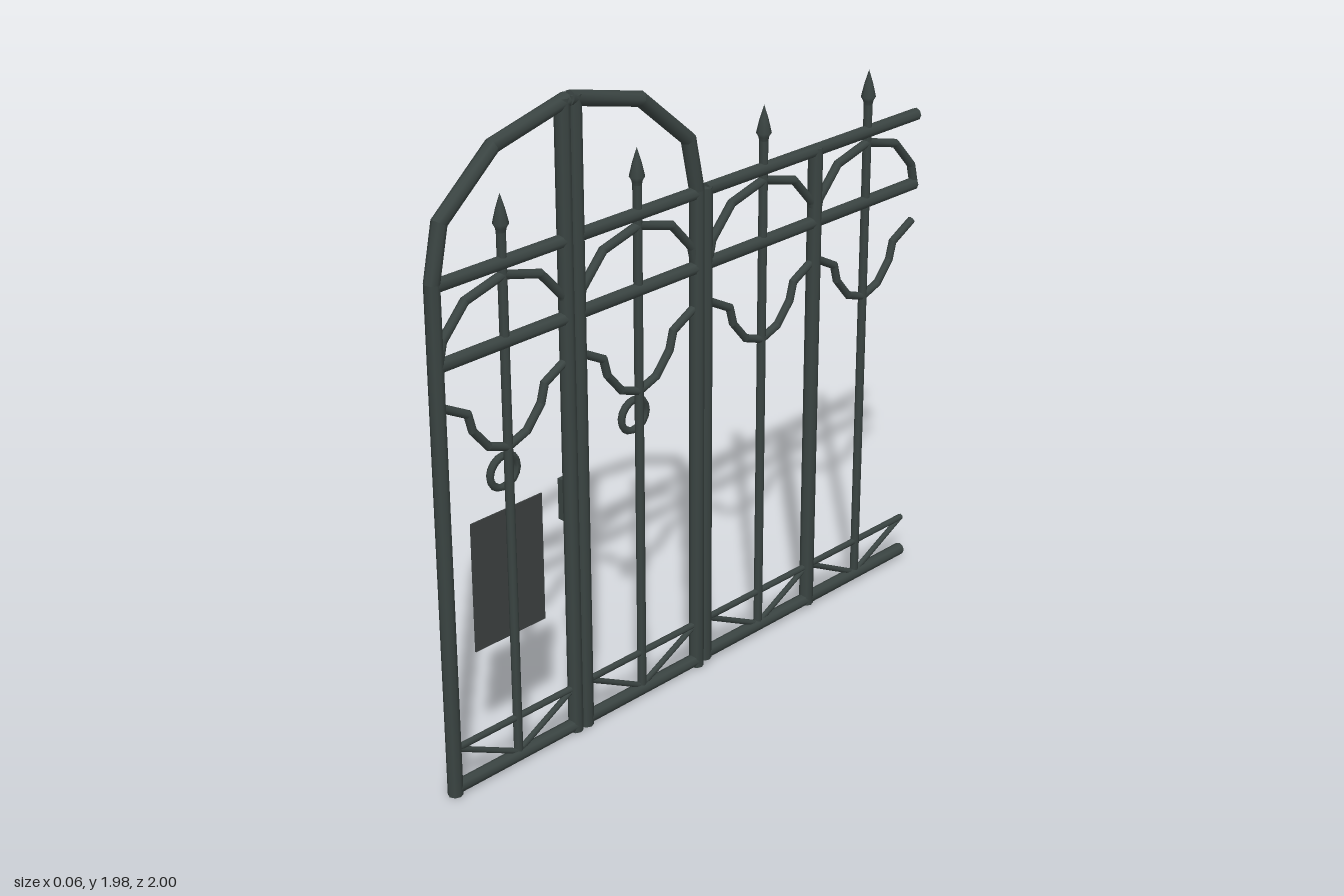
import * as THREE from 'three';

// Round bar swept through [z, y] points in the x = 0 plane, with mitred joints and flat ends
function barGeometry(points, radius, sides = 8) {
  const pts = points.map(p => new THREE.Vector2(p[0], p[1]));
  const dirs = pts.slice(1).map((p, i) => p.clone().sub(pts[i]).normalize());
  const rings = pts.map((p, i) => {
    const a = dirs[Math.max(0, i - 1)], b = dirs[Math.min(i, dirs.length - 1)];
    const t = a.clone().add(b).normalize();
    const r = radius / t.dot(a);
    return Array.from({ length: sides }, (_, k) => {
      const ang = k / sides * Math.PI * 2;
      const n = Math.cos(ang) * r;
      return [Math.sin(ang) * radius, p.y + t.x * n, p.x - t.y * n];
    });
  });
  const pos = [], index = [];
  for (let i = 0; i < rings.length - 1; i++) {
    const o = pos.length / 3;
    pos.push(...rings[i].flat(), ...rings[i + 1].flat());
    for (let k = 0; k < sides; k++) {
      const a = o + k, b = o + (k + 1) % sides;
      index.push(a, a + sides, b, b, a + sides, b + sides);
    }
  }
  [rings[0], rings[rings.length - 1]].forEach((ring, end) => {
    const o = pos.length / 3;
    pos.push(...ring.flat());
    for (let k = 1; k < sides - 1; k++) {
      if (end) index.push(o, o + k + 1, o + k);
      else index.push(o, o + k, o + k + 1);
    }
  });
  const g = new THREE.BufferGeometry();
  g.setAttribute('position', new THREE.Float32BufferAttribute(pos, 3));
  g.setIndex(index);
  g.computeVertexNormals();
  return g;
}

// Mirrors half a profile, given from the middle outwards, about a bay centre
function mirrored(half, centre) {
  const left = half.slice(1).reverse().map(([d, y]) => [centre + d, y]);
  return [...left, ...half.map(([d, y]) => [centre - d, y])];
}

export function createModel() {
  const model = new THREE.Group();
  const iron = new THREE.MeshStandardMaterial({ color: 0x3a4442, side: THREE.DoubleSide });
  iron.name = 'wroughtIron';
  const sheet = new THREE.MeshStandardMaterial({ color: 0x3c4040, side: THREE.DoubleSide });
  sheet.name = 'sheetMetal';

  const axis = 0.003; // x of the plane the ironwork lies in
  const add = (name, geometry, material = iron, parent = model) => {
    const mesh = new THREE.Mesh(geometry, material);
    mesh.name = name;
    mesh.position.x = axis;
    parent.add(mesh);
    return mesh;
  };
  const bar = (name, points, radius, parent) => add(name, barGeometry(points, radius), iron, parent);

  // Gate frames: each leaf has an outer post running into half of the arch, and a tall meeting post
  const mid = 0.485;
  const archHalf = [[0.005, 1.957], [0.27, 1.892], [0.459, 1.73], [0.493, 1.57], [0.493, 0.003]];
  for (const s of [1, -1]) {
    bar('gateFrame', archHalf.map(([d, y]) => [mid + s * d, y]), 0.0225);
    bar('meetingPost', [[mid + s * 0.0215, 0.003], [mid + s * 0.0215, 1.965]], 0.0225);
    // Latch box behind each meeting post
    add('latch', new THREE.BoxGeometry(0.03, 0.13, 0.034))
      .position.set(-0.02, 0.765, mid - 0.003 + s * 0.0215);
  }

  // Fence posts
  for (const z of [-0.042, -0.518]) bar('fencePost', [[z, 0.015], [z, 1.57]], 0.0225);

  // Spear-headed bar tip
  const spear = new THREE.LatheGeometry([[0.013, 1.645], [0.016, 1.66], [0.023, 1.672], [0.013, 1.715], [0, 1.757]]
    .map(p => new THREE.Vector2(...p)), 8);

  // Four bays of ironwork
  const bays = [
    { c: 0.735, from: 0.98, to: 0.51, gate: true },
    { c: 0.23, from: 0.464, to: -0.006, gate: true },
    { c: -0.288, from: -0.045, to: -0.518 },
    { c: -0.755, from: -0.518, to: -0.989 },
  ];
  for (const { c, from, to, gate } of bays) {
    const bay = new THREE.Group();
    bay.name = gate ? 'gateBay' : 'fenceBay';
    model.add(bay);
    const low = gate ? 0.024 : 0.031;
    bar('topRail', [[from, 1.561], [to, 1.561]], 0.02, bay);
    bar('middleRail', [[from, 1.333], [to, 1.333]], 0.02, bay);
    bar('bottomRail', [[from, low], [to, low]], 0.02, bay);
    bar('thinRail', [[from, 0.151], [to, 0.151]], 0.01, bay);
    bar('brace', [[from - 0.015, 0.149], [c, 0.034], [to + 0.005, 0.149]], 0.009, bay);
    bar('uprightBar', [[c, 0.02], [c, 1.65]], 0.0135, bay);
    add('spearhead', spear, iron, bay).position.z = c;
    bar('smallArch', mirrored([[0, 1.526], [0.135, 1.49], [0.217, 1.4], [0.233, 1.335]], c), 0.0135, bay);
    bar('scroll', mirrored([[0, 1.018], [0.07, 1.043], [0.125, 1.108], [0.14, 1.163], [0.23, 1.211]], c), 0.0125, bay);
    if (gate) {
      // Ring handle, hanging slightly away from the bar
      const ring = add('ringHandle', new THREE.TorusGeometry(0.05, 0.0115, 6, 16), iron, bay);
      ring.position.set(-0.02, 0.935, c);
      ring.rotation.set(0, Math.PI / 2, 0);
      ring.rotateX(0.06);
    }
  }

  // Plain sign plate behind the first upright bar
  add('signPlate', new THREE.BoxGeometry(0.004, 0.405, 0.265), sheet).position.set(-0.012, 0.62, 0.737);

  return model;
}
